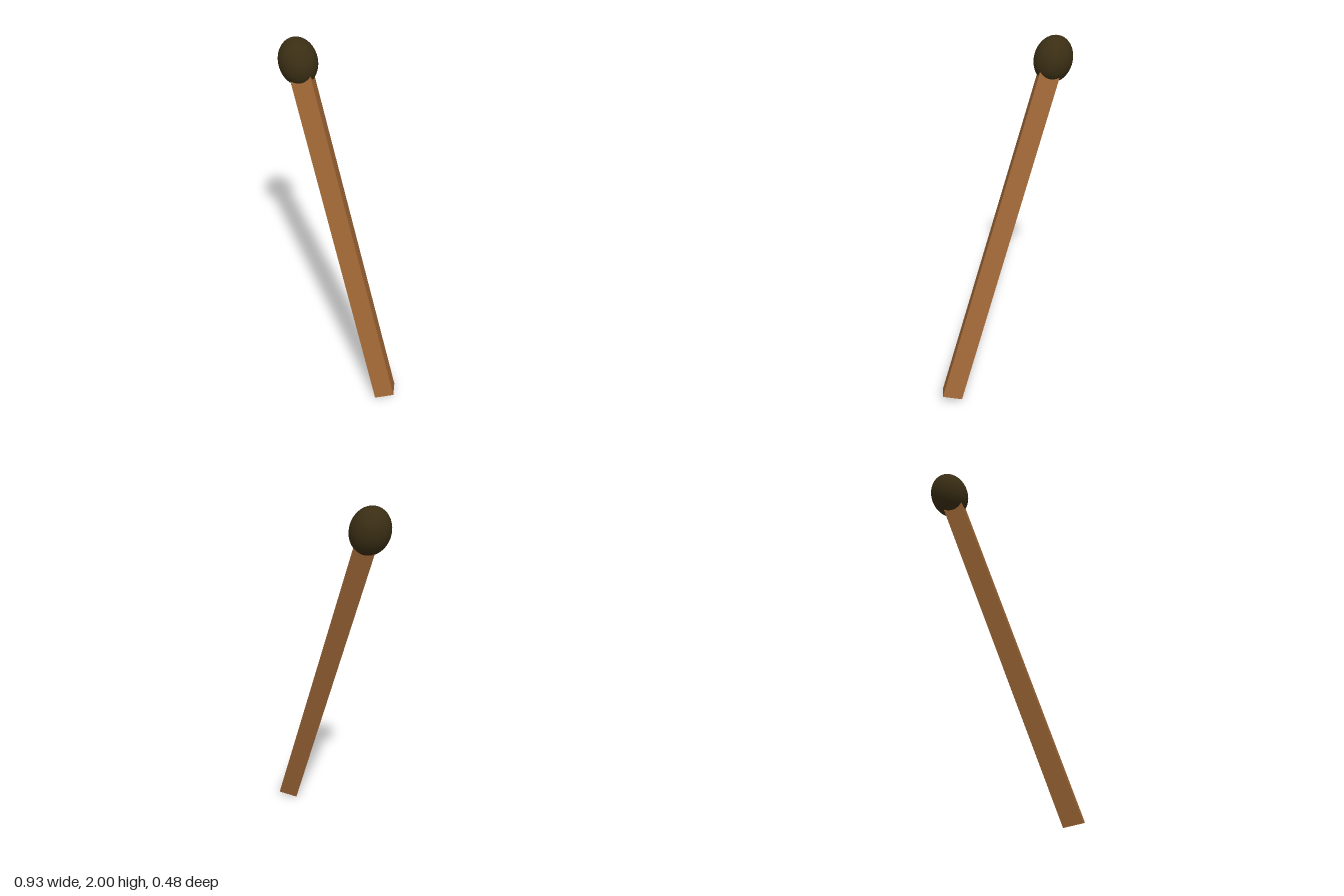
import * as THREE from 'three';

export function createModel() {
  const model = new THREE.Group();
  const wood = new THREE.MeshStandardMaterial({ color: 0x9c6535 });
  const tip = new THREE.MeshStandardMaterial({ color: 0x3a2e14 });

  // Leaning centre line, from the cut end to the middle of the head
  const foot = new THREE.Vector3(0.395, 0.028, 0.165);
  const headCentre = new THREE.Vector3(-0.357, 1.873, -0.136);
  const axis = headCentre.clone().sub(foot);

  // Square stick: a unit box spanned by its two cut-end edges and the centre line
  const across = new THREE.Vector3(0.095, 0.03, -0.05);
  const deep = new THREE.Vector3(0.046, 0.02, 0.1);
  const stickGeometry = new THREE.BoxGeometry(1, 1, 1).translate(0, 0.5, 0);
  stickGeometry.applyMatrix4(new THREE.Matrix4().makeBasis(across, axis, deep).setPosition(foot));
  const stick = new THREE.Mesh(stickGeometry, wood);
  stick.name = 'stick';
  model.add(stick);

  // Egg-shaped head, stretched along the stick
  const head = new THREE.Mesh(new THREE.SphereGeometry(1, 40, 28), tip);
  head.name = 'head';
  head.scale.set(0.106, 0.13, 0.106);
  head.position.copy(headCentre);
  head.quaternion.setFromUnitVectors(new THREE.Vector3(0, 1, 0), axis.clone().normalize());
  model.add(head);

  return model;
}
